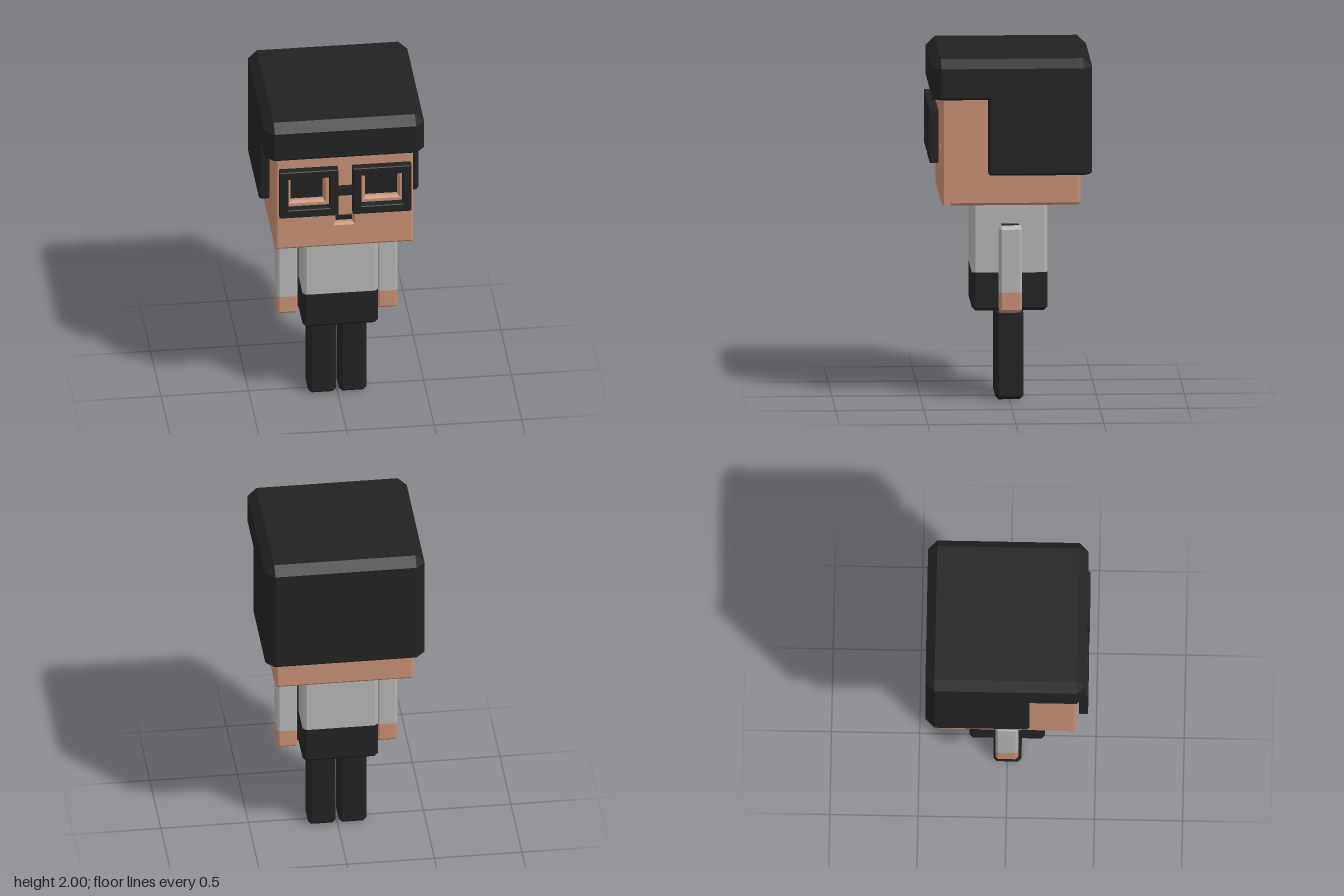
import * as THREE from 'three';
import { ConvexGeometry } from 'three/addons/geometries/ConvexGeometry.js';

const mat = (name, color) => {
  const m = new THREE.MeshStandardMaterial({ color });
  m.name = name;
  return m;
};

// Chamfered block: octagonal rings stacked at levels [y, inset], hulled together
function block(halfW, z0, z1, levels, cut, cutFront = cut) {
  const pts = [];
  const zc = (z0 + z1) / 2;
  for (const [y, inset] of levels) {
    for (const s of [-1, 1]) {
      for (const [z, c] of [[z0, cut], [z1, cutFront]]) {
        const dir = Math.sign(z - zc);
        pts.push(new THREE.Vector3(s * (halfW - inset), y, z - dir * Math.max(c, inset)));
        pts.push(new THREE.Vector3(s * (halfW - Math.max(c, inset)), y, z - dir * inset));
      }
    }
  }
  return new ConvexGeometry(pts);
}

// Rectangle as a path or shape
function rect(Type, x0, x1, y0, y1) {
  const p = new Type();
  p.moveTo(x0, y0);
  p.lineTo(x1, y0);
  p.lineTo(x1, y1);
  p.lineTo(x0, y1);
  p.closePath();
  return p;
}

// Bevelled slab with rectangular holes, from z0 to z1
function slab(outer, holes, z0, z1, bevel) {
  const shape = rect(THREE.Shape, ...outer);
  for (const h of holes) shape.holes.push(rect(THREE.Path, ...h));
  const geo = new THREE.ExtrudeGeometry(shape, {
    depth: z1 - z0 - 2 * bevel, bevelEnabled: true, bevelThickness: bevel,
    bevelSize: bevel, bevelOffset: -bevel, bevelSegments: 1,
  });
  return geo.translate(0, 0, z0 + bevel);
}

function box(x0, x1, y0, y1, z0, z1) {
  return new THREE.BoxGeometry(x1 - x0, y1 - y0, z1 - z0)
    .translate((x0 + x1) / 2, (y0 + y1) / 2, (z0 + z1) / 2);
}

export function createModel() {
  const root = new THREE.Group();
  root.name = 'blockFigure';
  const dark = mat('charcoal', 0x222222);
  const skin = mat('skin', 0xc48d72);
  const grey = mat('shirtGrey', 0xb3b3b3);

  const add = (name, geo, material, parent = root) => {
    const m = new THREE.Mesh(geo, material);
    m.name = name;
    parent.add(m);
    return m;
  };

  // Head with recessed eyes and mouth
  add('head', block(0.395, -0.395, 0.355, [[1.155, 0.015], [1.17, 0], [1.85, 0]], 0.015, 0.001), skin);
  const eyes = [-1, 1].map((s) => [s * 0.2125 - 0.0925, s * 0.2125 + 0.0925, 1.47, 1.635]);
  const mouth = [-0.048, 0.048, 1.31, 1.353];
  add('face', slab([-0.395, 0.395, 1.155, 1.85], [...eyes, mouth], 0.335, 0.395, 0.014), skin);
  for (const e of eyes) add('eye', box(...e, 0.352, 0.36), dark);
  add('mouth', box(...mouth, 0.352, 0.36), dark);

  // Hair: cap with fringe, and the longer back and sides
  add('hairCap', block(0.455, -0.46, 0.45, [[1.77, 0.012], [1.782, 0], [1.95, 0], [2, 0.052]], 0.052), dark);
  add('hairBack', block(0.455, -0.46, 0.13, [[1.335, 0.012], [1.347, 0], [1.94, 0]], 0.052, 0.012), dark);

  // Glasses
  for (const s of [-1, 1]) {
    const cx = s * 0.209;
    add('glassesFrame', slab([cx - 0.167, cx + 0.167, 1.4, 1.7],
      [[cx - 0.118, cx + 0.118, 1.45, 1.652]], 0.41, 0.462, 0.004), dark);
  }
  add('glassesBridge', box(-0.045, 0.045, 1.525, 1.57, 0.415, 0.455), dark);

  // Torso
  add('shirt', block(0.215, -0.215, 0.215, [[0.74, 0], [1.16, 0]], 0.02), grey);
  add('trousers', block(0.215, -0.215, 0.215, [[0.52, 0.02], [0.54, 0], [0.74, 0]], 0.02), dark);

  // Arms and legs
  for (const s of [-1, 1]) {
    const side = s > 0 ? 'left' : 'right';
    const arm = new THREE.Group();
    arm.name = side + 'Arm';
    arm.position.x = s * 0.285;
    root.add(arm);
    add('sleeve', block(0.06, -0.065, 0.065, [[0.645, 0], [1.007, 0], [1.022, 0.015]], 0.015), grey, arm);
    add('hand', block(0.06, -0.065, 0.065, [[0.53, 0.015], [0.545, 0], [0.645, 0]], 0.015), skin, arm);
    // Dark inner lining of the sleeve
    add('sleeveLining', box(-0.003, 0.003, 0.57, 1.015, -0.055, 0.055).translate(-s * 0.06, 0, 0), dark, arm);
    add('sleeveTop', box(-0.025, 0.025, 1.018, 1.024, -0.05, 0.05).translate(-s * 0.03, 0, 0), dark, arm);

    const leg = add(side + 'Leg',
      block(0.079, -0.08, 0.08, [[0, 0.02], [0.02, 0], [0.5, 0], [0.525, 0.02]], 0.02), dark);
    leg.position.x = s * 0.088;
  }
  return root;
}
